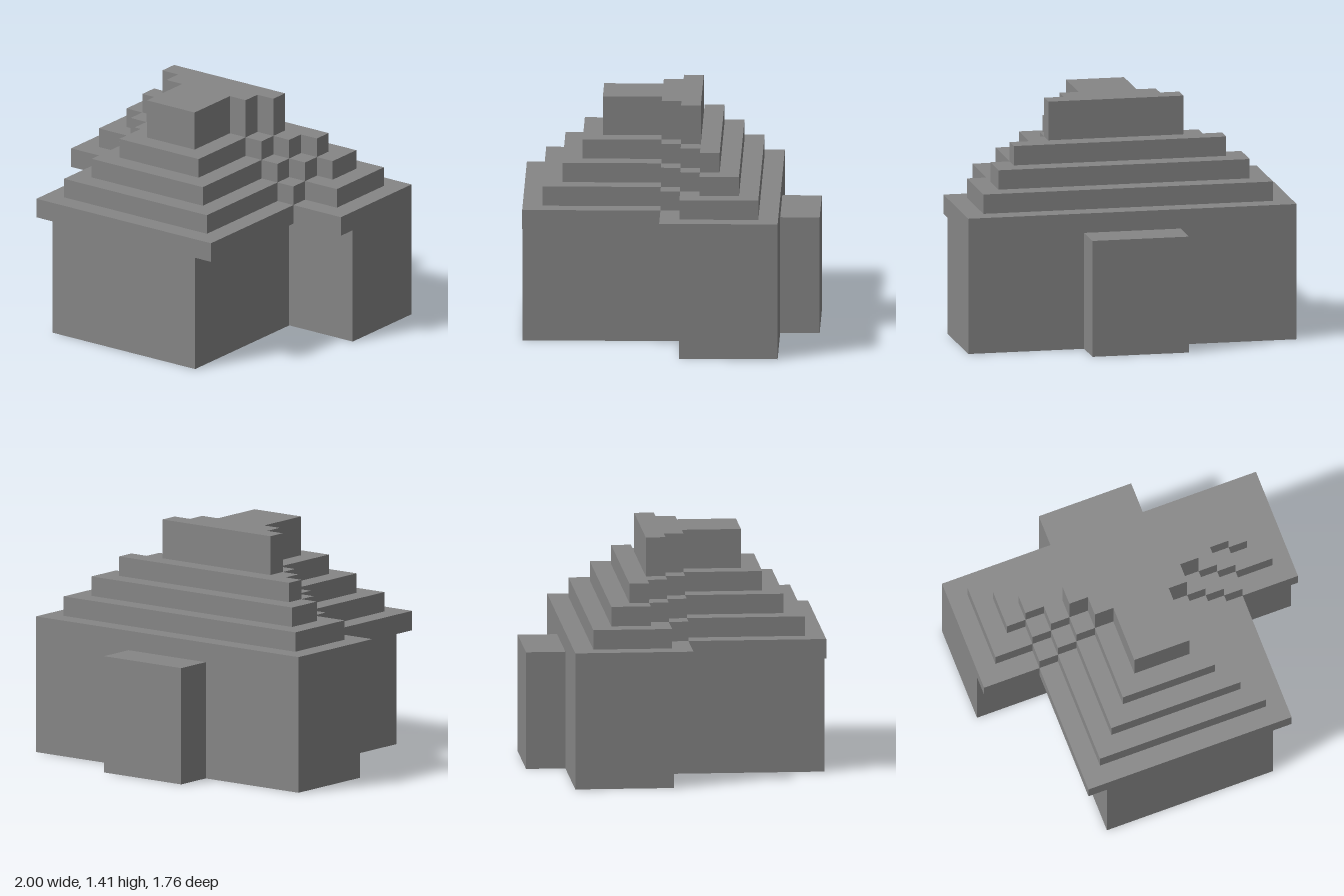
import * as THREE from 'three';

// Everything sits on a block grid, 17 blocks wide
const U = 2 / 17;

// Symmetric stepped slab: starts at zBack, then [halfWidth, zEnd] steps towards the front
function slab(name, y0, y1, zBack, steps, material) {
  const right = [];
  let z = zBack;
  for (const [half, zEnd] of steps) {
    right.push([half, z], [half, zEnd]);
    z = zEnd;
  }
  const left = right.map(([x, d]) => [-x, d]).reverse();
  const points = [...right, ...left].map(([x, d]) => new THREE.Vector2(x * U, -d * U));
  const geometry = new THREE.ExtrudeGeometry(new THREE.Shape(points), {
    depth: (y1 - y0) * U,
    bevelEnabled: false,
  });
  geometry.rotateX(-Math.PI / 2);
  geometry.translate(0, y0 * U, 0);
  const mesh = new THREE.Mesh(geometry, material);
  mesh.name = name;
  return mesh;
}

export function createModel() {
  const stone = new THREE.MeshStandardMaterial({ color: 0x868686 });
  stone.name = 'stone grey';
  const house = new THREE.Group();
  house.name = 'house';

  // T-shaped walls and the block against the back wall
  house.add(slab('walls', 0, 6, -5.5, [[8.5, -0.5], [4.5, 7.5]], stone));
  house.add(slab('backAnnex', 0, 6, -7.5, [[2.5, -5.5]], stone));

  // Stepped roof; the valleys climb diagonally where the wings meet the front gable
  const roof = new THREE.Group();
  roof.name = 'roof';
  const layers = [
    [[8.5, 0.5], [5.5, 7.5]],
    [[7.5, -0.5], [5.5, 0.5], [4.5, 6.5]],
    [[6.5, -1.5], [5.5, -0.5], [4.5, 0.5], [3.5, 5.5]],
    [[5.5, -1.5], [4.5, -0.5], [3.5, 0.5], [2.5, 4.5]],
    [[3.5, -0.5], [2.5, 0.5], [1.5, 3.5]],
  ];
  layers.forEach((steps, i) => {
    const top = i === 4 ? 12 : 7 + i;
    roof.add(slab(`roofLayer${i + 1}`, 6 + i, top, -5.5 + i, steps, stone));
  });
  house.add(roof);
  return house;
}
